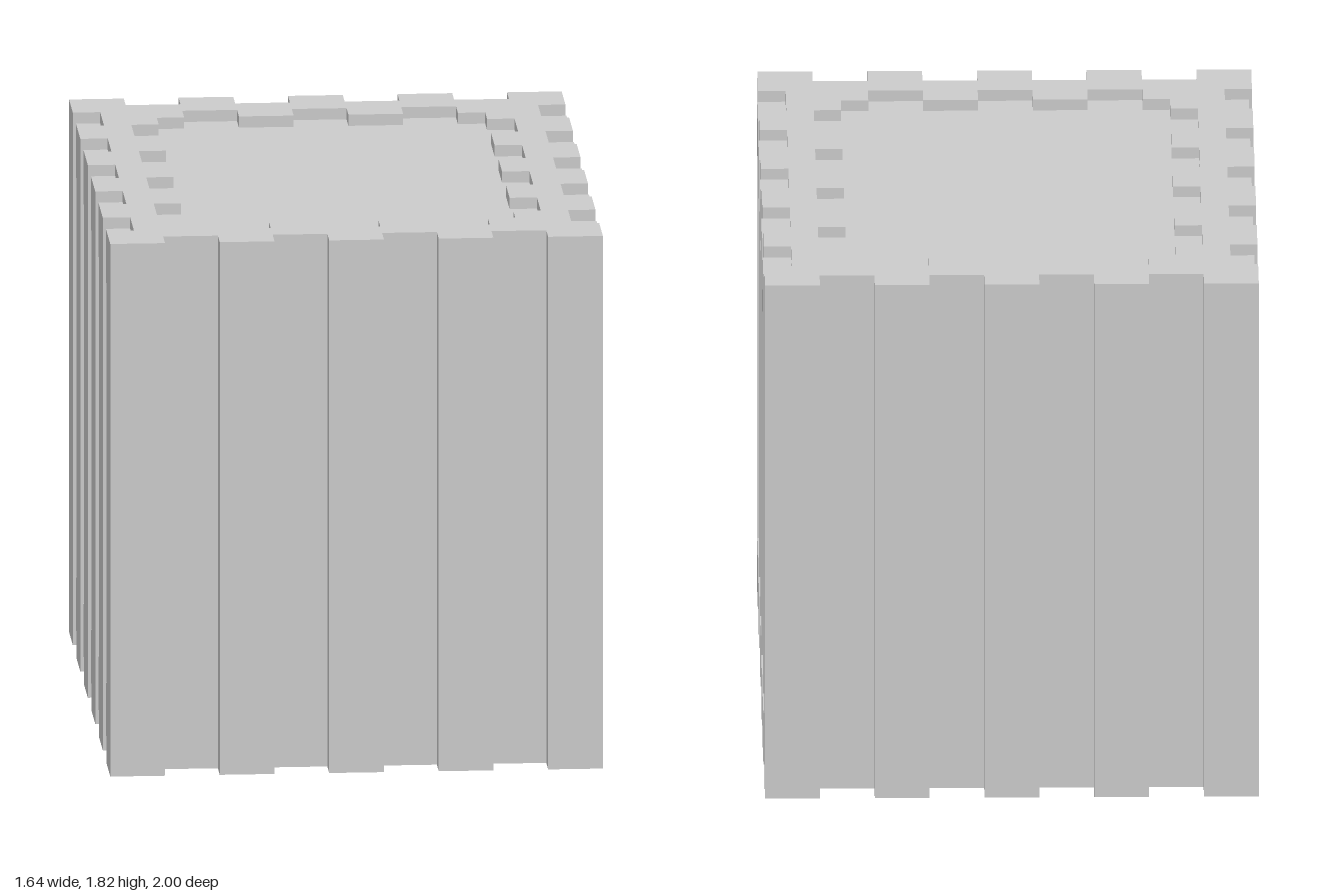
import * as THREE from 'three';

const W = 2 / 11;        // width of one corrugation rib
const HEIGHT = 10 * W;
const SHIFT = 0.0035;    // small sideways offset between shell and rail blocks
const TOP = 1.78, BOTTOM = 0.052; // levels of the recessed panels

// Square-wave outline of nx by nz ribs; ribs whose index has the given parity step inwards
function corrugatedOutline(nx, nz, notched) {
  const points = [];
  const addSide = (n, out, place) => {
    for (let k = 0; k < n; k++) {
      const inset = k % 2 === notched ? W / 2 : 0;
      let a = (k - n / 2) * W, b = a + W;
      if (inset && k === 0) a += W / 2;
      if (inset && k === n - 1) b -= W / 2;
      if (k > 0 || !inset) points.push(place(a, out - inset));
      else points.push(place(a, out - inset));
      // the last corner is supplied by the next side
      if (k < n - 1) points.push(place(b, out - inset));
    }
  };
  const hx = nx * W / 2, hz = nz * W / 2;
  addSide(nx, hz, (t, o) => new THREE.Vector2(t, -o));
  addSide(nz, hx, (t, o) => new THREE.Vector2(o, t));
  addSide(nx, hz, (t, o) => new THREE.Vector2(-t, o));
  addSide(nz, hx, (t, o) => new THREE.Vector2(-o, -t));
  return points;
}

export function createModel() {
  const group = new THREE.Group();
  const material = new THREE.MeshStandardMaterial({ color: 0xcccccc, flatShading: true });

  const add = (name, geometry, x = 0, y = 0, z = 0) => {
    const mesh = new THREE.Mesh(geometry, material);
    mesh.name = name;
    mesh.position.set(x, y, z);
    group.add(mesh);
  };

  // Corrugated walls, open at top and bottom
  const shape = new THREE.Shape(corrugatedOutline(9, 11, 1));
  shape.holes.push(new THREE.Path(corrugatedOutline(7, 9, 0)));
  const walls = new THREE.ExtrudeGeometry(shape, { depth: HEIGHT, bevelEnabled: false });
  walls.rotateX(-Math.PI / 2);
  add('corrugatedWalls', walls, -SHIFT);

  // Recessed roof and floor panels, as one core let into the walls
  add('roofAndFloorCore', new THREE.BoxGeometry(7.5 * W, TOP - BOTTOM, 9.5 * W),
    -SHIFT, (TOP + BOTTOM) / 2);

  // Rail blocks filling the side grooves near the top and bottom
  const block = new THREE.BoxGeometry(W / 2 + 0.02, W, W);
  for (const side of [-1, 1]) {
    const x = side * (4.5 * W - block.parameters.width / 2)
      + (side < 0 ? 2 * SHIFT : 0);
    for (let i = -2; i <= 2; i++) {
      add('upperRailBlock', block, x, TOP - W / 2, i * 2 * W);
      add('lowerRailBlock', block, x, BOTTOM + W / 2, i * 2 * W);
    }
  }
  return group;
}
